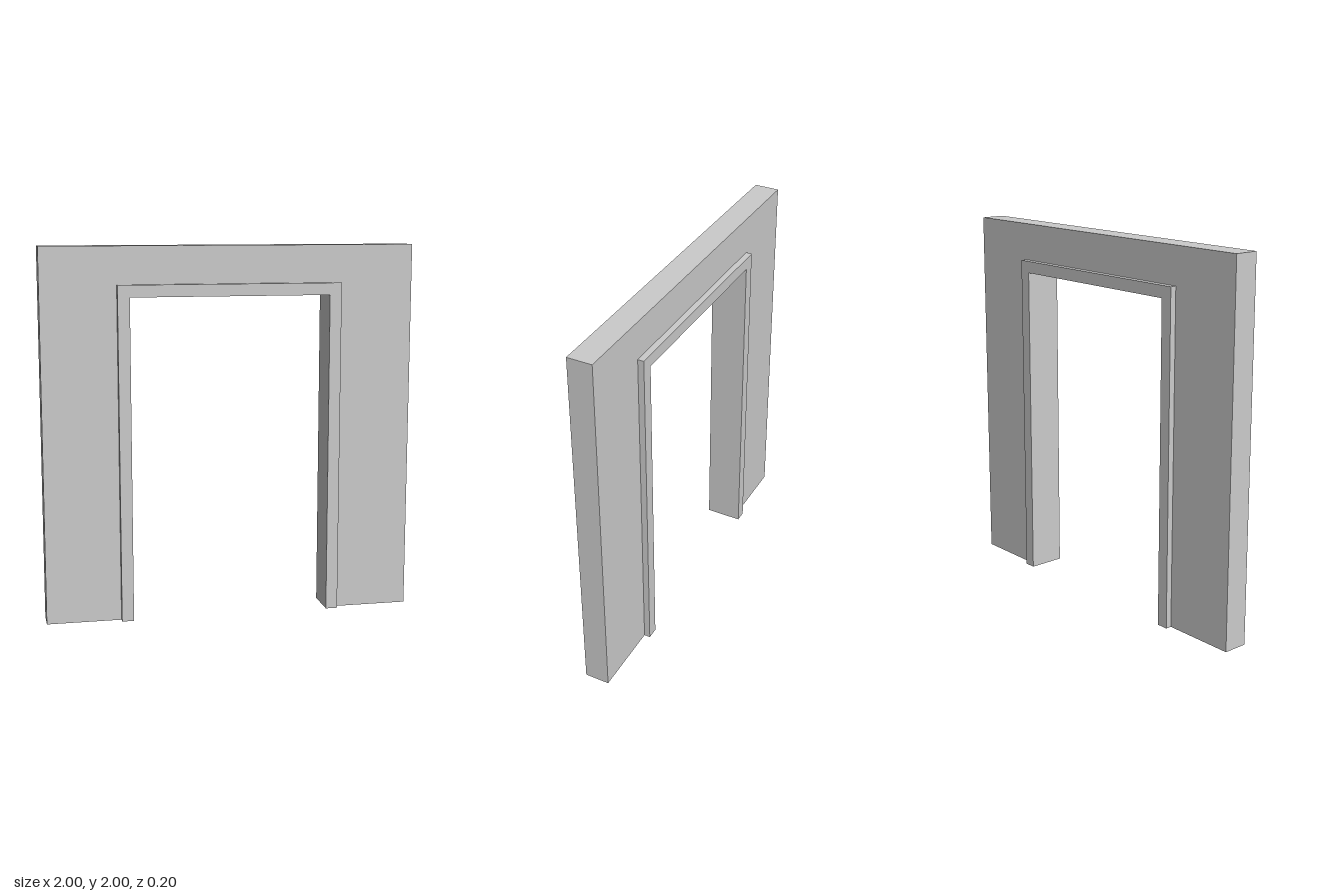
import * as THREE from 'three';

const material = new THREE.MeshStandardMaterial({ color: 0xcccccc, flatShading: true });

// Upside-down U outline, open at the floor, extruded evenly about z = 0
function portal(name, outerHalf, outerTop, innerHalf, innerTop, depth) {
  const shape = new THREE.Shape([
    [-outerHalf, 0], [-innerHalf, 0], [-innerHalf, innerTop], [innerHalf, innerTop],
    [innerHalf, 0], [outerHalf, 0], [outerHalf, outerTop], [-outerHalf, outerTop],
  ].map(([x, y]) => new THREE.Vector2(x, y)));
  const geometry = new THREE.ExtrudeGeometry(shape, { depth, bevelEnabled: false });
  geometry.translate(0, 0, -depth / 2);
  const mesh = new THREE.Mesh(geometry, material);
  mesh.name = name;
  return mesh;
}

export function createModel() {
  const group = new THREE.Group();
  group.name = 'wallWithDoorway';

  // Wall panel with the doorway cut out
  group.add(portal('wall', 1, 2, 0.6, 1.8, 0.134));

  // Thicker door frame lining the opening, proud on both faces
  group.add(portal('doorFrame', 0.6, 1.8, 0.536, 1.736, 0.2));

  return group;
}
